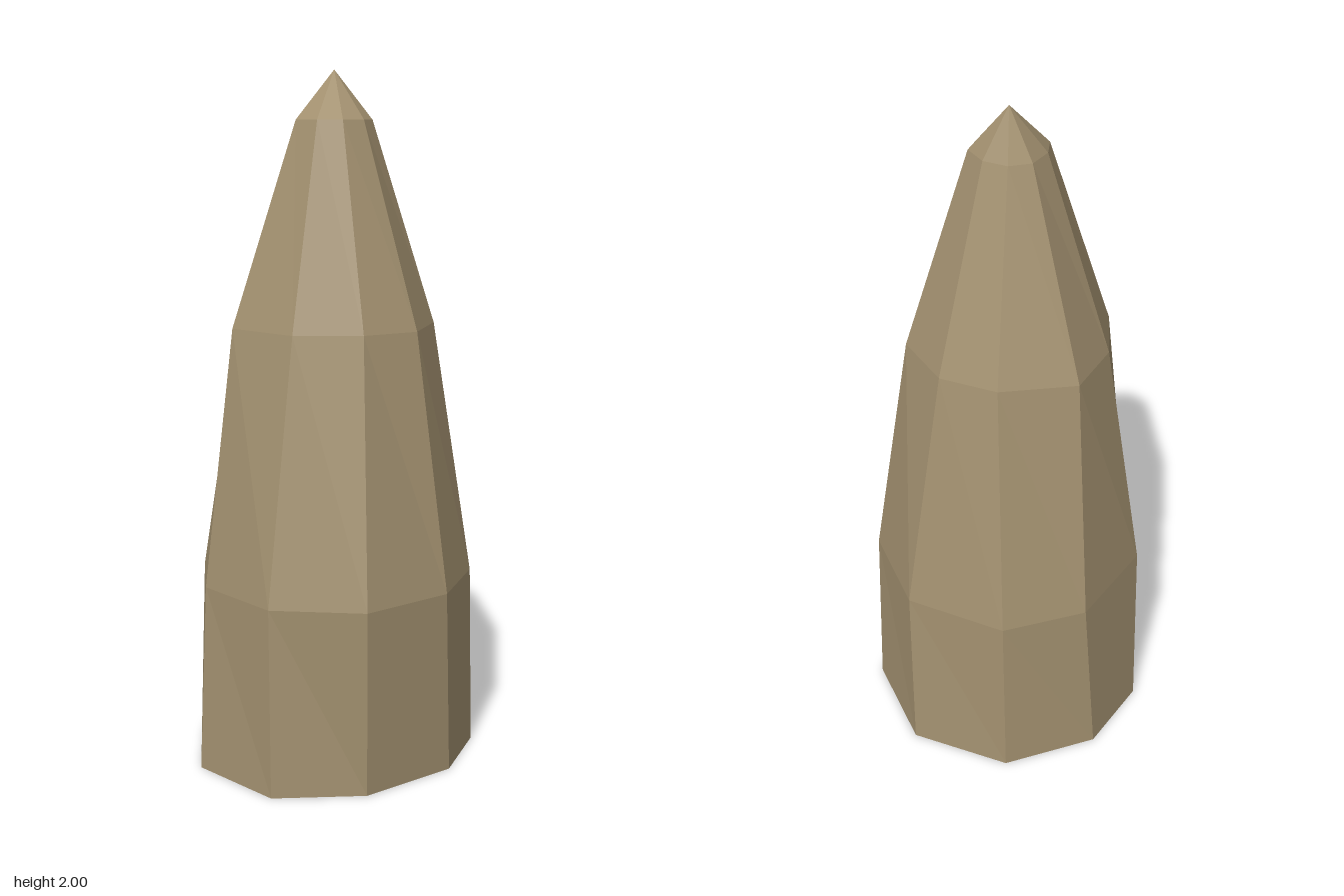
import * as THREE from 'three';

// Irregular nine-sided cross-sections, each a height and [x, z] corners, clockwise seen from above
const rings = [
  { y: 0, p: [[-0.43, 0.145], [-0.41, -0.155], [-0.18, -0.375], [0.07, -0.41], [0.325, -0.27], [0.425, 0.02], [0.29, 0.305], [0.06, 0.395], [-0.24, 0.335]] },
  { y: 0.54, p: [[-0.42, 0.13], [-0.38, -0.155], [-0.205, -0.34], [0.1, -0.385], [0.32, -0.255], [0.405, 0.04], [0.27, 0.305], [0.025, 0.405], [-0.262, 0.352]] },
  { y: 1.28, p: [[-0.285, 0.1], [-0.28, -0.135], [-0.13, -0.255], [0.055, -0.3], [0.225, -0.155], [0.28, 0.01], [0.215, 0.2], [0.01, 0.3], [-0.155, 0.245]] },
  { y: 1.86, p: [[-0.115, 0.04], [-0.11, -0.045], [-0.055, -0.085], [0.02, -0.097], [0.075, -0.06], [0.095, 0.01], [0.07, 0.085], [0, 0.112], [-0.07, 0.095]] },
];

export function createModel() {
  const sides = 9;
  const points = [];
  const faces = [];
  for (const { y, p } of rings) for (const [x, z] of p) points.push(x, y, z);

  // Walls between neighbouring rings
  for (let r = 0; r < rings.length - 1; r++) {
    for (let i = 0; i < sides; i++) {
      const a = r * sides + i;
      const b = r * sides + (i + 1) % sides;
      const c = a + sides;
      const d = b + sides;
      faces.push(a, c, d, a, d, b);
    }
  }

  // Pointed tip and flat underside
  const apex = points.length / 3;
  points.push(0.025, 2, -0.02);
  points.push(0, 0, 0);
  const top = (rings.length - 1) * sides;
  for (let i = 0; i < sides; i++) {
    const j = (i + 1) % sides;
    faces.push(top + i, apex, top + j);
    faces.push(i, j, apex + 1);
  }

  const indexed = new THREE.BufferGeometry();
  indexed.setAttribute('position', new THREE.Float32BufferAttribute(points, 3));
  indexed.setIndex(faces);
  const geometry = indexed.toNonIndexed();
  geometry.computeVertexNormals();

  const stone = new THREE.MeshStandardMaterial({ color: 0xa39170, flatShading: true });
  stone.name = 'tan stone';
  const spike = new THREE.Mesh(geometry, stone);
  spike.name = 'spike';

  const group = new THREE.Group();
  group.name = 'stoneSpike';
  group.add(spike);
  return group;
}
